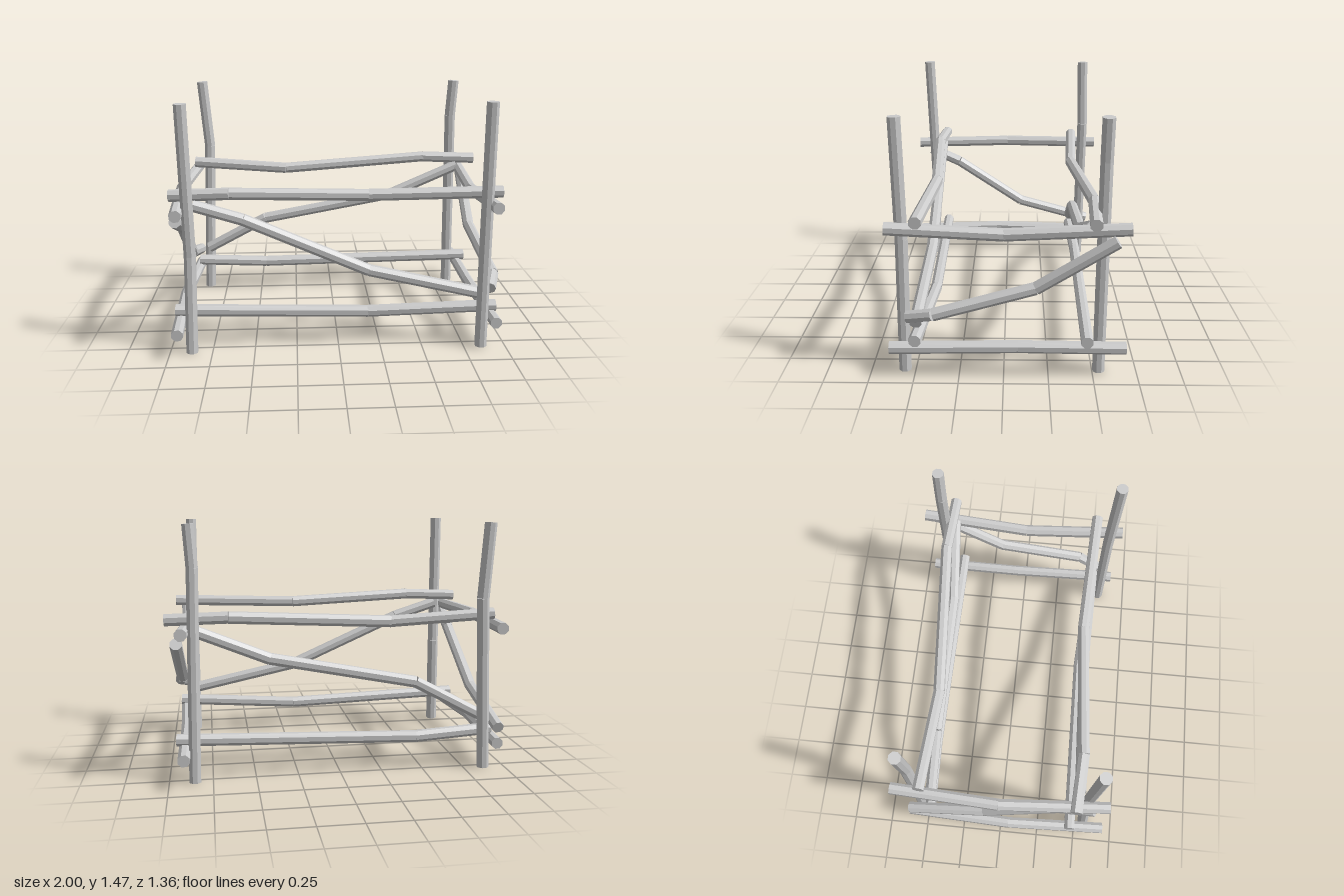
import * as THREE from 'three';

const RADIUS = 0.036;
const SIDES = 8;
const UP = new THREE.Vector3(0, 1, 0);
const wood = new THREE.MeshStandardMaterial({ color: 0xcccccc, flatShading: true });

// A crooked pole: one straight log piece between each pair of points
function pole(name, points) {
  const group = new THREE.Group();
  group.name = name;
  const pts = points.map((p) => new THREE.Vector3(...p));
  for (let i = 0; i < pts.length - 1; i++) {
    const dir = pts[i + 1].clone().sub(pts[i]);
    const geo = new THREE.CylinderGeometry(RADIUS, RADIUS, dir.length(), SIDES);
    geo.rotateY(Math.PI / SIDES);
    const piece = new THREE.Mesh(geo, wood);
    piece.name = name + 'Piece' + (i + 1);
    piece.position.copy(pts[i]).lerp(pts[i + 1], 0.5);
    piece.quaternion.setFromUnitVectors(UP, dir.normalize());
    group.add(piece);
  }
  return group;
}

// A corner post, upright with one bend
function post(name, x, z, bend) {
  return pole(name, [[x, 0, z], bend, [x, 1.47, z]]);
}

export function createModel() {
  const model = new THREE.Group();
  model.name = 'poleFrame';
  model.add(
    // Corner posts
    post('frontRightPost', -0.87, 0.56, [-0.86, 0.59, 0.53]),
    post('backRightPost', -0.87, -0.537, [-0.835, 1.03, -0.545]),
    post('backLeftPost', 0.853, -0.537, [0.837, 1.23, -0.537]),
    post('frontLeftPost', 0.853, 0.56, [0.855, 0.8, 0.55]),

    // Long rails
    pole('frontTopRail', [[-0.975, 0.93, 0.455], [-0.63, 0.942, 0.475], [0.18, 0.91, 0.42], [0.965, 0.93, 0.46]]),
    pole('backTopRail', [[-0.93, 0.93, -0.47], [-0.31, 0.89, -0.43], [0.645, 0.945, -0.5], [1.0, 0.935, -0.48]]),
    pole('frontLowRail', [[-0.97, 0.227, 0.46], [0.18, 0.19, 0.445], [0.95, 0.23, 0.49]]),
    pole('backLowRail', [[-0.93, 0.22, -0.47], [-0.46, 0.195, -0.485], [0.955, 0.23, -0.46]]),

    // Short side rails
    pole('leftTopRail', [[0.9, 0.875, 0.635], [0.88, 0.835, 0], [0.907, 0.88, -0.68]]),
    pole('rightTopRail', [[-0.915, 0.86, 0.655], [-0.96, 0.865, 0], [-0.925, 0.865, -0.645]]),
    pole('leftLowRail', [[0.922, 0.175, 0.635], [0.905, 0.177, -0.08], [0.91, 0.175, -0.68]]),
    pole('rightLowRail', [[-0.935, 0.16, 0.68], [-0.96, 0.175, 0.05], [-0.93, 0.165, -0.61]]),

    // Diagonal braces
    pole('frontBrace', [[-0.84, 0.875, 0.475], [-0.555, 0.785, 0.47], [0.18, 0.46, 0.465], [0.88, 0.305, 0.49]]),
    pole('backBrace', [[-0.86, 0.31, -0.47], [-0.46, 0.525, -0.46], [0.41, 0.69, -0.445], [0.88, 0.885, -0.475]]),
    pole('leftBrace', [[0.9, 0.355, 0.53], [0.95, 0.395, 0.385], [0.917, 0.54, -0.175], [0.935, 0.82, -0.605]]),
    pole('rightBrace', [[-0.93, 0.805, 0.57], [-0.915, 0.715, 0.365], [-0.93, 0.4, -0.1], [-0.935, 0.26, -0.6]])
  );
  return model;
}
